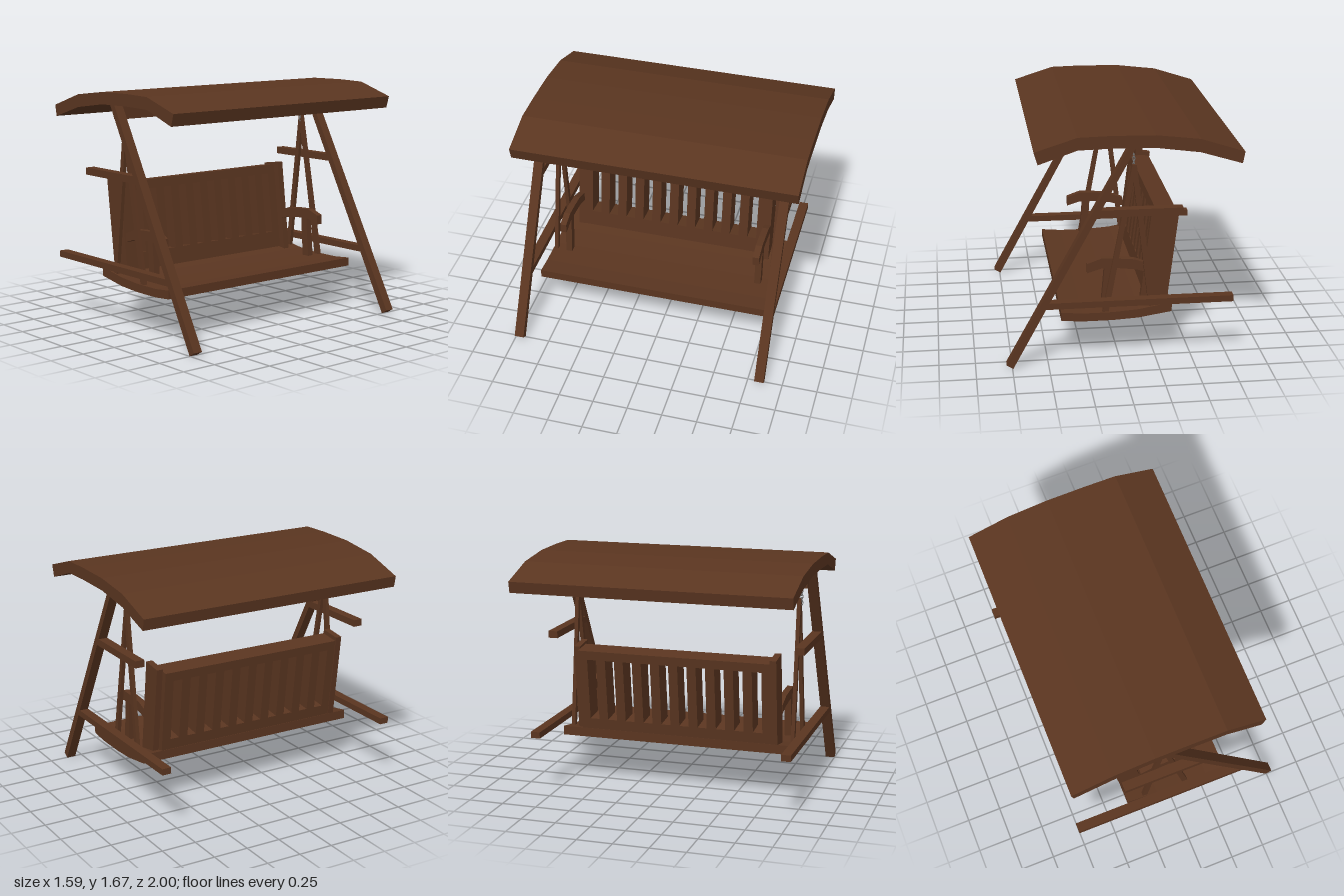
import * as THREE from 'three';

const wood = new THREE.MeshStandardMaterial({ color: 0x5a3520 });
const steel = new THREE.MeshStandardMaterial({ color: 0x777777 });

// Side profile in x/y, extruded from z0 to z1
function board(name, points, z0, z1) {
  const shape = new THREE.Shape(points.map(([x, y]) => new THREE.Vector2(x, y)));
  const geometry = new THREE.ExtrudeGeometry(shape, { depth: z1 - z0, bevelEnabled: false });
  geometry.translate(0, 0, z0);
  const mesh = new THREE.Mesh(geometry, wood);
  mesh.name = name;
  return mesh;
}

// Rectangular profile from corner to corner
const bar = (name, x0, y0, x1, y1, z0, z1) =>
  board(name, [[x0, y0], [x1, y0], [x1, y1], [x0, y1]], z0, z1);

// Backrest: thick leaning panel with a row of slots
function createBackrest() {
  const z0 = -0.645, z1 = 0.765, height = 0.635, depth = 0.15, lean = 0.12;
  const panel = new THREE.Shape();
  panel.moveTo(-z1, 0);
  panel.lineTo(-z0, 0);
  panel.lineTo(-z0, height);
  panel.lineTo(-z1, height);
  panel.closePath();
  for (let i = 0; i < 10; i++) {
    const a = -0.70 + i * 0.1345, b = a + 0.068;
    const slot = new THREE.Path();
    slot.moveTo(a, 0.12);
    slot.lineTo(a, 0.57);
    slot.lineTo(b, 0.57);
    slot.lineTo(b, 0.12);
    slot.closePath();
    panel.holes.push(slot);
  }
  const geometry = new THREE.ExtrudeGeometry(panel, { depth, bevelEnabled: false });
  geometry.translate(0, 0, -depth);
  geometry.rotateY(Math.PI / 2);
  geometry.rotateZ(lean);
  geometry.translate(-0.2, 0.38, 0);
  const mesh = new THREE.Mesh(geometry, wood);
  mesh.name = 'slattedBackrest';
  return mesh;
}

// Chain: interlocking links, each turned a quarter from the last
function createChain(z) {
  const chain = new THREE.Group();
  chain.name = 'chain';
  const link = new THREE.TorusGeometry(0.011, 0.003, 6, 14);
  link.scale(0.75, 1.5, 1);
  for (let i = 0; i < 6; i++) {
    const mesh = new THREE.Mesh(link, steel);
    mesh.name = 'chainLink';
    mesh.position.set(-0.095, 1.48 - i * 0.022, z);
    mesh.rotation.y = (i % 2) * Math.PI / 2;
    chain.add(mesh);
  }
  return chain;
}

export function createModel() {
  const swing = new THREE.Group();
  swing.name = 'gardenSwing';

  // Arched roof and the beam that carries the bench
  swing.add(board('roof', [
    [-0.78, 1.455], [-0.5, 1.54], [-0.205, 1.58], [0.085, 1.585], [0.305, 1.58], [0.565, 1.49],
    [0.59, 1.575], [0.305, 1.665], [0.085, 1.67], [-0.205, 1.665], [-0.5, 1.63], [-0.795, 1.535],
  ], -1, 1));
  swing.add(bar('roofBeam', -0.143, 1.48, -0.095, 1.59, -0.82, 0.95));

  // Slanted legs with two horizontal rails on each side
  for (const [z0, z1] of [[-0.87, -0.803], [0.932, 1]]) {
    const side = new THREE.Group();
    side.name = 'sideFrame';
    side.add(board('leg', [[-0.117, 1.59], [0.745, 0], [0.79, 0.028], [-0.068, 1.59]], z0, z1));
    side.add(board('upperRail', [[-0.417, 1.07], [0.17, 1.07], [0.143, 1.12], [-0.417, 1.12]], z0, z1));
    side.add(board('lowerRail', [[-0.775, 0.425], [0.52, 0.425], [0.497, 0.47], [-0.775, 0.47]], z0, z1));
    swing.add(side);
  }

  // Hanging bench
  const bench = new THREE.Group();
  bench.name = 'bench';
  bench.add(board('seat', [
    [-0.36, 0.34], [-0.13, 0.303], [0.05, 0.293], [0.26, 0.293], [0.405, 0.305],
    [0.405, 0.365], [0.26, 0.352], [0.05, 0.352], [-0.13, 0.365], [-0.36, 0.405],
  ], -0.79, 0.91));
  bench.add(createBackrest());

  // Back posts, armrests and arm supports
  for (const [z0, z1, dx, dy] of [[0.762, 0.808, 0, 0], [-0.69, -0.643, 0.05, -0.007]]) {
    bench.add(board('backPost',
      [[-0.355, 0.375], [-0.2, 0.375], [-0.28, 1.04], [-0.435, 1.02]].map(([x, y]) => [x + dx, y + dy]), z0, z1));
    bench.add(board('armrest', [
      [-0.22, 0.59], [-0.126, 0.62], [0, 0.635], [0.117, 0.637], [0.215, 0.607],
      [0.215, 0.675], [0.117, 0.71], [0, 0.705], [-0.11, 0.695], [-0.22, 0.655],
    ], z0, z1));
    bench.add(board('armSupport', [[0.06, 0.345], [0.12, 0.345], [0.095, 0.645], [0.04, 0.645]], z0, z1));
  }

  // Hanger rods forming an A at each end, with chains above
  for (const [z0, z1] of [[0.873, 0.9], [-0.777, -0.75]]) {
    const hanger = new THREE.Group();
    hanger.name = 'hanger';
    hanger.add(board('rearRod', [[-0.24, 0.37], [-0.203, 0.365], [-0.085, 1.33], [-0.095, 1.4], [-0.112, 1.4]], z0, z1));
    hanger.add(board('frontRod', [[0.078, 0.345], [0.12, 0.345], [-0.083, 1.4], [-0.1, 1.4], [-0.1, 1.33]], z0, z1));
    hanger.add(createChain(z1 + 0.003));
    bench.add(hanger);
  }
  swing.add(bench);

  return swing;
}
